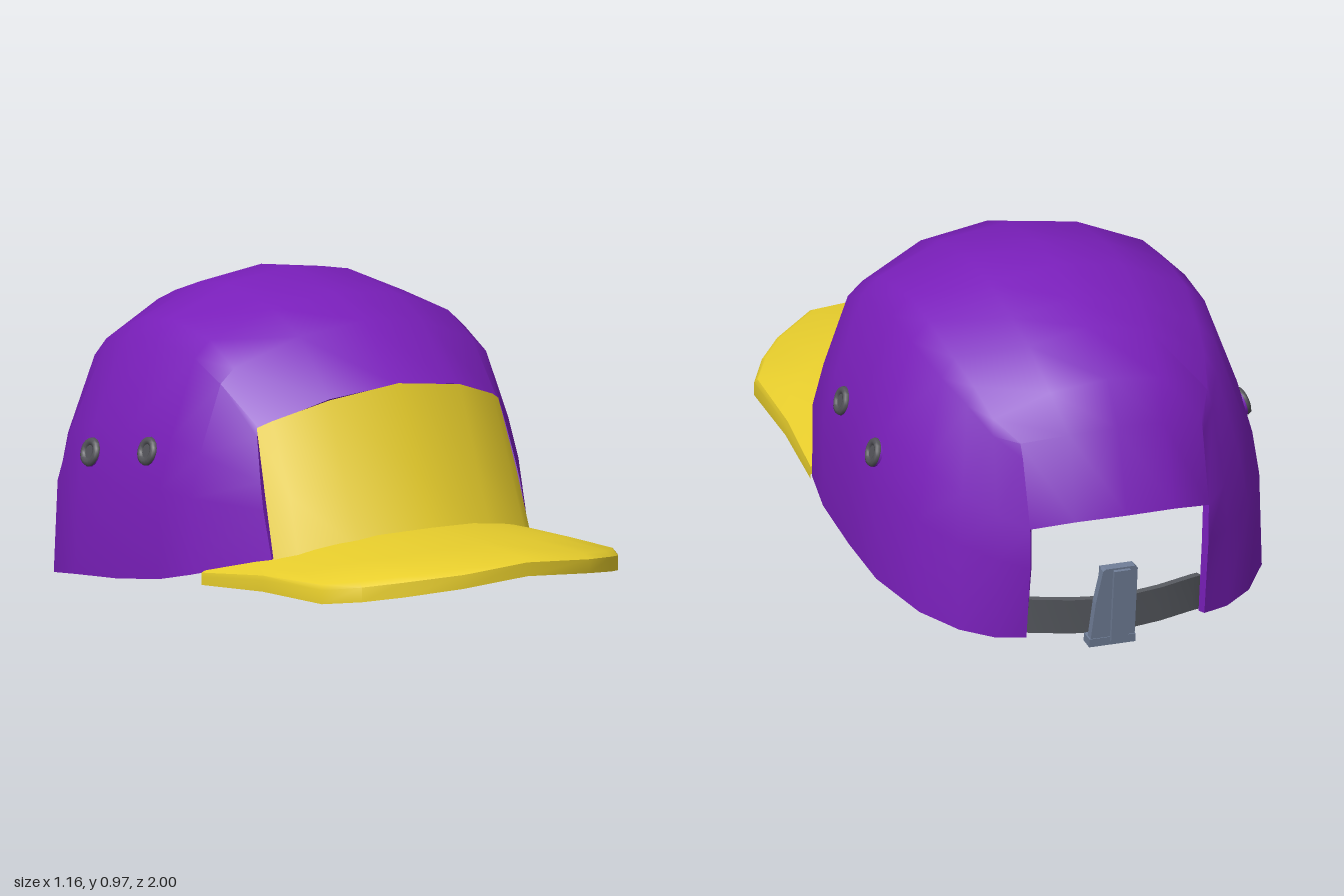
import * as THREE from 'three';
import { toCreasedNormals } from 'three/addons/utils/BufferGeometryUtils.js';

const mat = (name, color) => {
  const m = new THREE.MeshStandardMaterial({ color });
  m.name = name;
  return m;
};
const lerp = THREE.MathUtils.lerp;

// mirror a half section (centre first) to a full row running from -x to +x
const mirror = (half) => [
  ...half.slice(1).reverse().map(([x, y, z]) => [-x, y, z]),
  ...half,
];

// thick sheet from rows of points; offset(p, n) moves a point to the inner side,
// lined(k) tells which columns show the second material inside
function shell(rows, offset, lined = () => false, crease = 0.65) {
  const pts = [], keys = new Map();
  const ids = rows.map((row) => row.map((p) => {
    const k = p.map((v) => v.toFixed(4)).join();
    if (!keys.has(k)) { keys.set(k, pts.length); pts.push(p); }
    return keys.get(k);
  }));
  const outer = [], columns = [];
  const tri = (k, a, b, c) => {
    if (a === b || b === c || a === c) return;
    outer.push(a, b, c);
    columns.push(k);
  };
  for (let i = 0; i + 1 < ids.length; i++) {
    for (let k = 0; k + 1 < ids[i].length; k++) {
      const a = ids[i][k], b = ids[i][k + 1], c = ids[i + 1][k], d = ids[i + 1][k + 1];
      tri(k, a, b, c);
      tri(k, b, d, c);
    }
  }
  // normals of the outer sheet guide the offset
  const sheet = new THREE.BufferGeometry();
  sheet.setAttribute('position', new THREE.Float32BufferAttribute(pts.flat(), 3));
  sheet.setIndex(outer);
  sheet.computeVertexNormals();
  const n = pts.length, nor = sheet.attributes.normal;
  const innerPts = pts.map((p, i) => offset(
    new THREE.Vector3(...p), new THREE.Vector3().fromBufferAttribute(nor, i)).toArray());
  // inner side, then a rim that closes every open edge
  const edges = new Set(), main = [...outer], lining = [];
  columns.forEach((k, t) => {
    const f = outer.slice(t * 3, t * 3 + 3);
    f.forEach((a, j) => edges.add(a + '_' + f[(j + 1) % 3]));
    (lined(k) ? lining : main).push(f[0] + n, f[2] + n, f[1] + n);
  });
  for (const e of edges) {
    const [a, b] = e.split('_').map(Number);
    if (!edges.has(b + '_' + a)) main.push(b, a, a + n, b, a + n, b + n);
  }
  const g = new THREE.BufferGeometry();
  g.setAttribute('position', new THREE.Float32BufferAttribute([...pts, ...innerPts].flat(), 3));
  g.setIndex([...main, ...lining]);
  g.addGroup(0, main.length, 0);
  g.addGroup(main.length, lining.length, 1);
  return toCreasedNormals(g, crease);
}

const thick = (t) => (p, n) => p.addScaledVector(n, -t);

// half section of the crown: flat top strip, shoulder, then a side that bulges out and back
function crownSection([cy, cz, ex, ey, ez, bx, by, bz]) {
  const side = (fx, fy, back) => [
    lerp(ex, bx, fx), lerp(ey, by, fy), lerp(ez, bz, fy) - back * Math.max(0, -bz - 0.45)];
  return [
    [0, cy, cz],
    [ex * 0.52, lerp(cy, ey, 0.25), lerp(cz, ez, 0.25)],
    [ex, ey, ez],
    side(0.3, 0.07, 0.03),
    side(0.78, 0.41, 0.12),
    side(1, 0.62, 0.1),
    [bx, by, bz],
  ];
}

export function createModel() {
  const purple = mat('purple cloth', 0x7a1fbb);
  const yellow = mat('yellow cloth', 0xe8ce2c);
  const lining = mat('beige lining', 0xa0977a);
  const strapGrey = mat('strap grey', 0x56595f);
  const buckleBlue = mat('buckle blue grey', 0x6f7d96);
  const eyeletGrey = mat('eyelet grey', 0x525258);

  const cap = new THREE.Group();
  cap.name = 'cap';
  const add = (parent, name, geometry, material) => {
    const m = new THREE.Mesh(geometry, material);
    m.name = name;
    parent.add(m);
    return m;
  };

  // crown stations front to back: centre y z, shoulder x y z, lower edge x y z
  const sections = [
    [0.73, 0.30, 0.4, 0.63, 0.2, 0.43, 0.27, 0.32],
    [0.885, 0.13, 0.4, 0.78, 0.07, 0.55, 0.2, 0.08],
    [0.94, -0.03, 0.4, 0.84, -0.06, 0.57, 0.165, -0.06],
    [0.972, -0.28, 0.39, 0.86, -0.28, 0.575, 0.13, -0.28],
    [0.955, -0.42, 0.39, 0.84, -0.43, 0.575, 0.105, -0.5],
    [0.905, -0.57, 0.37, 0.78, -0.58, 0.52, 0.07, -0.7],
    [0.86, -0.68, 0.35, 0.73, -0.69, 0.44, 0.045, -0.81],
    [0.76, -0.84, 0.325, 0.66, -0.78, 0.35, 0.03, -0.87],
    [0.64, -0.92, 0.275, 0.61, -0.865, 0.27, 0.03, -0.9],
  ].map(crownSection);
  // the last row is the upper edge of the back opening
  const [tip, low, corner] = sections.at(-1).slice(4);
  sections.push([[0, 0.40, -0.995], [0.15, 0.395, -0.98], tip, tip, tip, low, corner]);
  // the top strip is lined
  add(cap, 'crown', shell(sections.map(mirror), thick(0.022), (k) => k >= 4 && k < 8), [purple, lining]);

  // front panel, lower edge to upper edge
  const panel = [
    [[0, 0.31, 0.505], [0.22, 0.30, 0.46], [0.38, 0.27, 0.385], [0.43, 0.25, 0.335]],
    [[0, 0.5, 0.42], [0.22, 0.48, 0.38], [0.37, 0.45, 0.32], [0.42, 0.44, 0.27]],
    [[0, 0.735, 0.31], [0.22, 0.705, 0.29], [0.37, 0.65, 0.225], [0.405, 0.63, 0.2]],
  ];
  add(cap, 'frontPanel', shell(panel.map(mirror), thick(0.025), () => true), [yellow, lining]);

  // brim: strips between the outer edge and the panel foot, arched across x
  const rimLine = [[0, 1], [0.21, 0.995], [0.35, 0.89], [0.43, 0.8], [0.495, 0.69], [0.51, 0.4], [0.54, 0.12]];
  const foot = [[0, 0.47], [0.16, 0.45], [0.27, 0.42], [0.33, 0.39], [0.41, 0.34], [0.45, 0.26], [0.525, 0.12]];
  const brim = [0, 0.05, 0.5, 1].map((t, row) => mirror(rimLine.map(([x0, z0], i) => {
    const x = lerp(x0, foot[i][0], t), z = lerp(z0, foot[i][1], t);
    const y = 0.347 - 0.33 * x * x - 0.28 * Math.max(0, 0.6 - z) * x * x;
    return [x, y - (row === 0 ? 0.012 : 0), z];
  })));
  const under = (p) => {
    p.y -= 0.04 - 0.035 * Math.max(0, 0.6 - p.z) + 0.09 * (1 - p.z) * Math.max(0, 1 - Math.abs(p.x) / 0.5);
    return p;
  };
  add(cap, 'brim', shell(brim, under, undefined, 0.8), yellow);

  // vent eyelets on raised cloth discs, two on each side
  for (const side of [1, -1]) {
    for (const [x, y, z] of [[0.541, 0.515, -0.155], [0.553, 0.465, -0.44]]) {
      const eyelet = new THREE.Group();
      eyelet.name = side > 0 ? 'leftEyelet' : 'rightEyelet';
      const base = add(eyelet, 'eyeletBase', new THREE.CylinderGeometry(0.041, 0.043, 0.02, 16), purple);
      const core = add(eyelet, 'eyeletCore', new THREE.CylinderGeometry(0.03, 0.03, 0.024, 16), eyeletGrey);
      base.rotation.x = core.rotation.x = Math.PI / 2;
      const ring = add(eyelet, 'eyeletRing', new THREE.TorusGeometry(0.03, 0.0125, 8, 16), eyeletGrey);
      ring.position.z = 0.007;
      eyelet.position.set(side * x, y, z);
      eyelet.lookAt(side * (x + 0.95), y + 0.3, z);
      cap.add(eyelet);
    }
  }

  // closing strap: two bands that meet at the buckle
  const bands = {
    rightStrap: [[-0.265, 0.143, -0.89], [-0.235, 0.145, -0.903], [-0.13, 0.137, -0.925], [-0.015, 0.13, -0.935]],
    leftStrap: [[0.038, 0.13, -0.935], [0.14, 0.135, -0.925], [0.25, 0.144, -0.903], [0.285, 0.146, -0.89]],
  };
  for (const [name, line] of Object.entries(bands)) {
    const strap = [0, 0.105].map((d) => line.map(([x, y, z]) => [x, y - d, z + d * 0.1]));
    add(cap, name, shell(strap, thick(0.02)), strapGrey);
  }

  // buckle: tapered plate with an outer ridge, a thick top and a foot, leaning back
  const buckle = new THREE.Group();
  buckle.name = 'buckle';
  const outline = new THREE.Shape([[-0.035, 0.01], [0.1, 0.01], [0.088, 0.14], [0.07, 0.24], [0.062, 0.246],
    [-0.027, 0.246], [-0.035, 0.238]].map((p) => new THREE.Vector2(...p)));
  const plate = add(buckle, 'bucklePlate', new THREE.ExtrudeGeometry(outline, { depth: 0.025, bevelEnabled: false }), buckleBlue);
  plate.position.z = -0.025;
  const block = (name, w, h, d, x, y, z) =>
    add(buckle, name, new THREE.BoxGeometry(w, h, d), buckleBlue).position.set(x, y, z);
  block('buckleRidge', 0.05, 0.225, 0.012, 0.015, 0.128, -0.03);
  block('buckleTop', 0.1, 0.1, 0.02, 0.018, 0.19, 0.004);
  block('buckleFoot', 0.14, 0.025, 0.045, 0.033, 0.0155, -0.005);
  buckle.rotation.x = -0.12;
  buckle.position.z = -0.934;
  cap.add(buckle);

  return cap;
}
